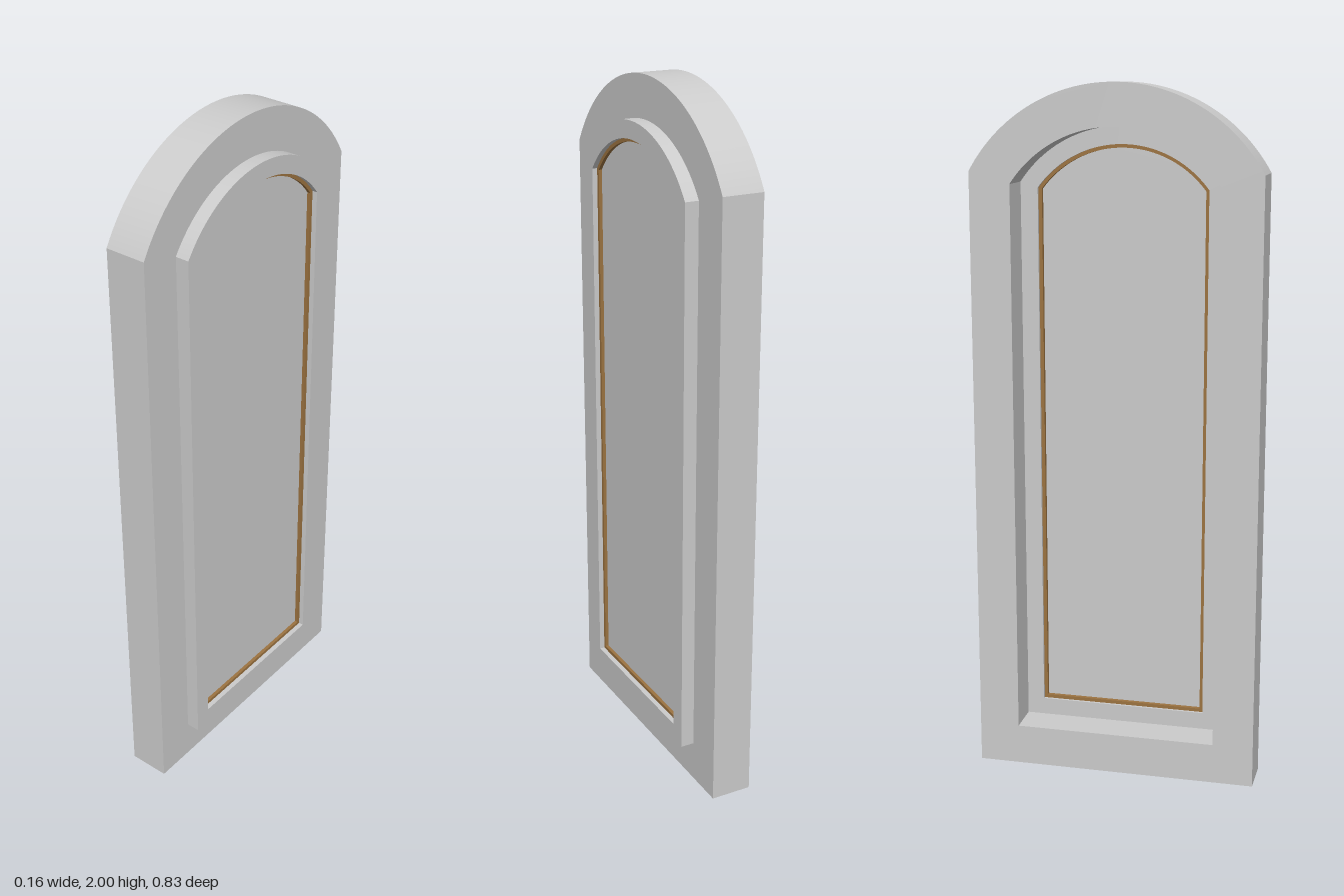
import * as THREE from 'three';
import { toCreasedNormals } from 'three/addons/utils/BufferGeometryUtils.js';

const HALF_WIDTH = 0.413, ARC_Y = 1.526, ARC_R = 0.474;

// Arched outline, moved inward evenly by inset
function trace(target, inset) {
  const w = HALF_WIDTH - inset, r = ARC_R - inset;
  const spring = Math.sqrt(r * r - w * w);
  const a = Math.atan2(spring, w);
  target.moveTo(-w, inset);
  target.lineTo(w, inset);
  target.lineTo(w, ARC_Y + spring);
  target.absarc(0, ARC_Y, r, a, Math.PI - a, false);
  target.lineTo(-w, inset);
  return target;
}

// Extrude an arched ring (or a solid slab if inner is null) from x0 to x1
function arched(name, outer, inner, x0, x1, color) {
  const shape = trace(new THREE.Shape(), outer);
  if (inner !== null) shape.holes.push(trace(new THREE.Path(), inner));
  let geo = new THREE.ExtrudeGeometry(shape, {
    depth: x1 - x0, bevelEnabled: false, curveSegments: 40,
  });
  geo.rotateY(Math.PI / 2);
  geo.translate(x0, 0, 0);
  geo = toCreasedNormals(geo, Math.PI / 9);
  const mesh = new THREE.Mesh(geo, new THREE.MeshStandardMaterial({ color }));
  mesh.name = name;
  return mesh;
}

export function createModel() {
  const group = new THREE.Group();
  group.name = 'archedWindow';
  group.add(
    // Heavy surround, open through its full depth
    arched('surround', 0, 0.118, -0.08, 0.04, 0xcccccc),
    // Sash set in the opening and standing proud of the surround
    arched('sash', 0.118, 0.168, 0.025, 0.08, 0xcccccc),
    // Thin coloured bead holding the pane
    arched('bead', 0.168, 0.178, 0.033, 0.065, 0x9c7340),
    // Pane
    arched('pane', 0.174, null, 0.045, 0.055, 0xcccccc),
  );
  return group;
}
